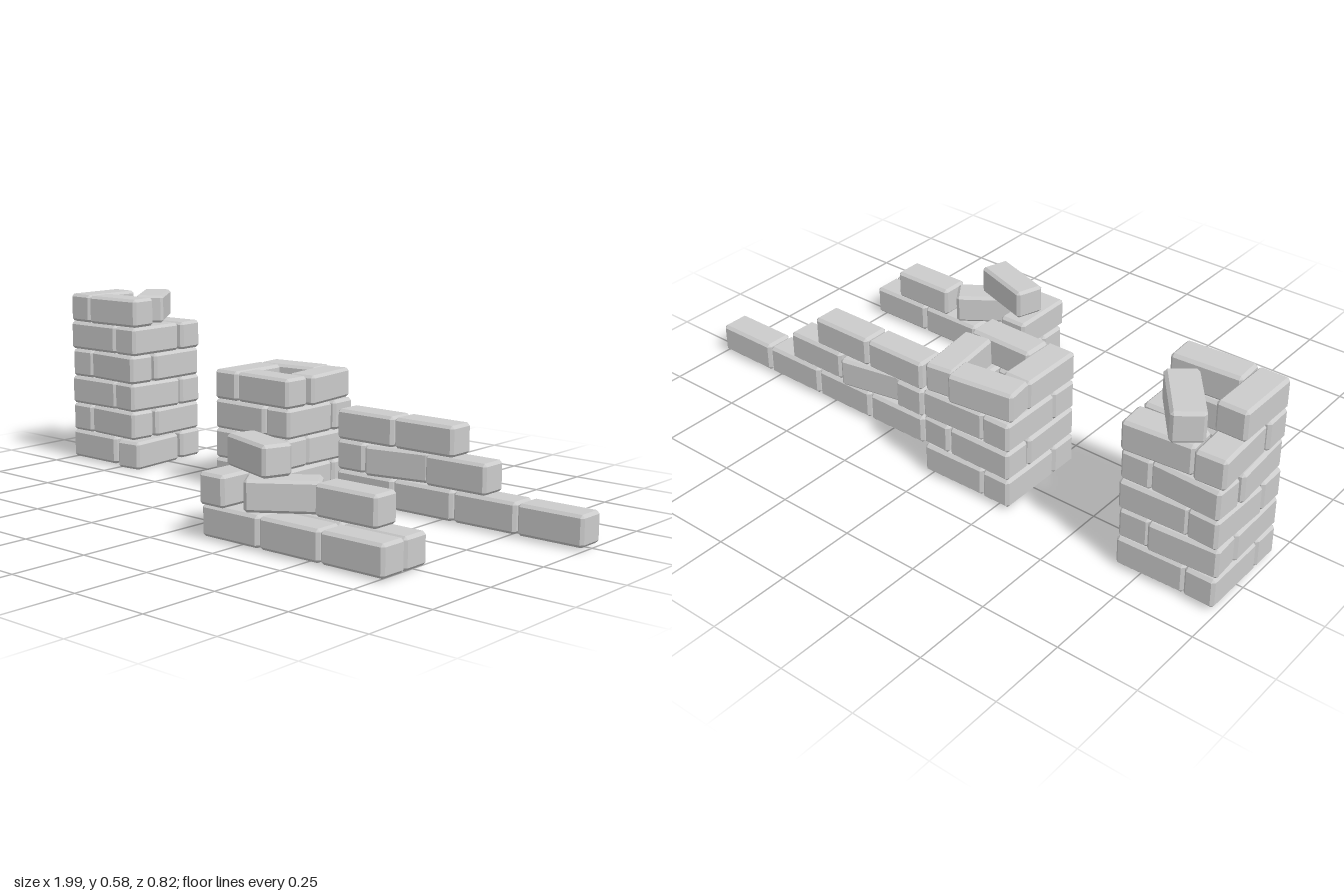
import * as THREE from 'three';
import { ConvexGeometry } from 'three/addons/geometries/ConvexGeometry.js';

const LENGTH = 0.217, HEIGHT = 0.095, WIDTH = 0.096, PITCH = 0.0963, BASE = 0.007;

// Box with every edge chamfered: each corner becomes three points
function chamferedBox(l, h, w, c = 0.009) {
  const points = [];
  for (const sx of [-1, 1]) for (const sy of [-1, 1]) for (const sz of [-1, 1]) {
    for (let axis = 0; axis < 3; axis++) {
      const inset = [0, 1, 2].map((i) => (i === axis ? 0 : c));
      points.push(new THREE.Vector3(
        sx * (l / 2 - inset[0]), sy * (h / 2 - inset[1]), sz * (w / 2 - inset[2])));
    }
  }
  return new ConvexGeometry(points);
}

export function createModel() {
  const model = new THREE.Group();
  model.name = 'brickRuins';
  const material = new THREE.MeshStandardMaterial({ color: 0xcccccc, flatShading: true });
  const full = chamferedBox(LENGTH, HEIGHT, WIDTH);
  const half = chamferedBox(0.106, HEIGHT, WIDTH);

  const group = (name) => {
    const g = new THREE.Group();
    g.name = name;
    model.add(g);
    return g;
  };

  // One brick on a given layer, turned about the vertical axis
  function brick(parent, x, layer, z, yaw = 0, geometry = full, drop = 0) {
    const mesh = new THREE.Mesh(geometry, material);
    mesh.name = geometry === half ? 'halfBrick' : 'brick';
    mesh.position.set(x, BASE + HEIGHT / 2 + layer * PITCH - drop, z);
    mesh.rotation.y = yaw;
    parent.add(mesh);
  }

  // Hollow square pillar: four bricks per layer in a pinwheel, mirrored every layer.
  // Each row lists the small turns of the front, right, back and left bricks (null = missing).
  function pillar(name, cx, cz, layers) {
    const g = group(name);
    layers.forEach((turns, layer) => {
      const along = layer % 2 ? 0.049 : -0.049, out = 0.11;
      turns.forEach((turn, side) => {
        if (turn === null) return;
        const a = side * Math.PI / 2, c = Math.cos(a), s = Math.sin(a);
        const sunk = name === 'tallPillar' && layer === 0 && side === 1;
        brick(g, cx + along * c + out * s, layer, cz - along * s + out * c, a + turn, full,
          sunk ? BASE : 0);
      });
    });
    return g;
  }

  const tall = pillar('tallPillar', -0.83, -0.23, [
    [0, 0.1, 0.03, 0],
    [-0.04, 0.05, 0.06, 0.02],
    [0.02, -0.05, 0.04, -0.03],
    [-0.06, 0.03, -0.04, 0.06],
    [0.03, 0.02, 0.08, 0.05],
    [0.06, null, null, 0],
  ]);
  // Loose brick lying across the top opening
  brick(tall, -0.805, 5, -0.295, -0.9);

  pillar('shortPillar', -0.135, -0.23, [
    [0, 0.02, 0.02, 0],
    [0.02, -0.03, 0, 0.02],
    [-0.02, 0.02, 0.04, 0],
    [-0.02, 0.13, 0.13, 0],
  ]);

  // Stepped wall, one brick thick
  const wall = group('steppedWall');
  const wallZ = -0.247;
  for (let i = 0; i < 4; i++) brick(wall, 0.223 + i * 0.2225, 0, wallZ);
  brick(wall, 0.168, 1, wallZ, 0, half);
  brick(wall, 0.337, 1, wallZ, 0.19);
  brick(wall, 0.563, 1, wallZ);
  for (let i = 0; i < 2; i++) brick(wall, 0.223 + i * 0.2225, 2, wallZ);

  // Loose pile on a base two bricks deep
  const pile = group('brickPile');
  for (const z of [0.262, 0.358]) {
    for (let i = 0; i < 3; i++) brick(pile, 0.223 + i * 0.2205, 0, z);
  }
  brick(pile, 0.164, 1, 0.31, Math.PI / 2);
  brick(pile, 0.343, 1, 0.308, 0.62);
  brick(pile, 0.563, 1, 0.262);
  brick(pile, 0.24, 2, 0.298, -0.32);

  return model;
}
